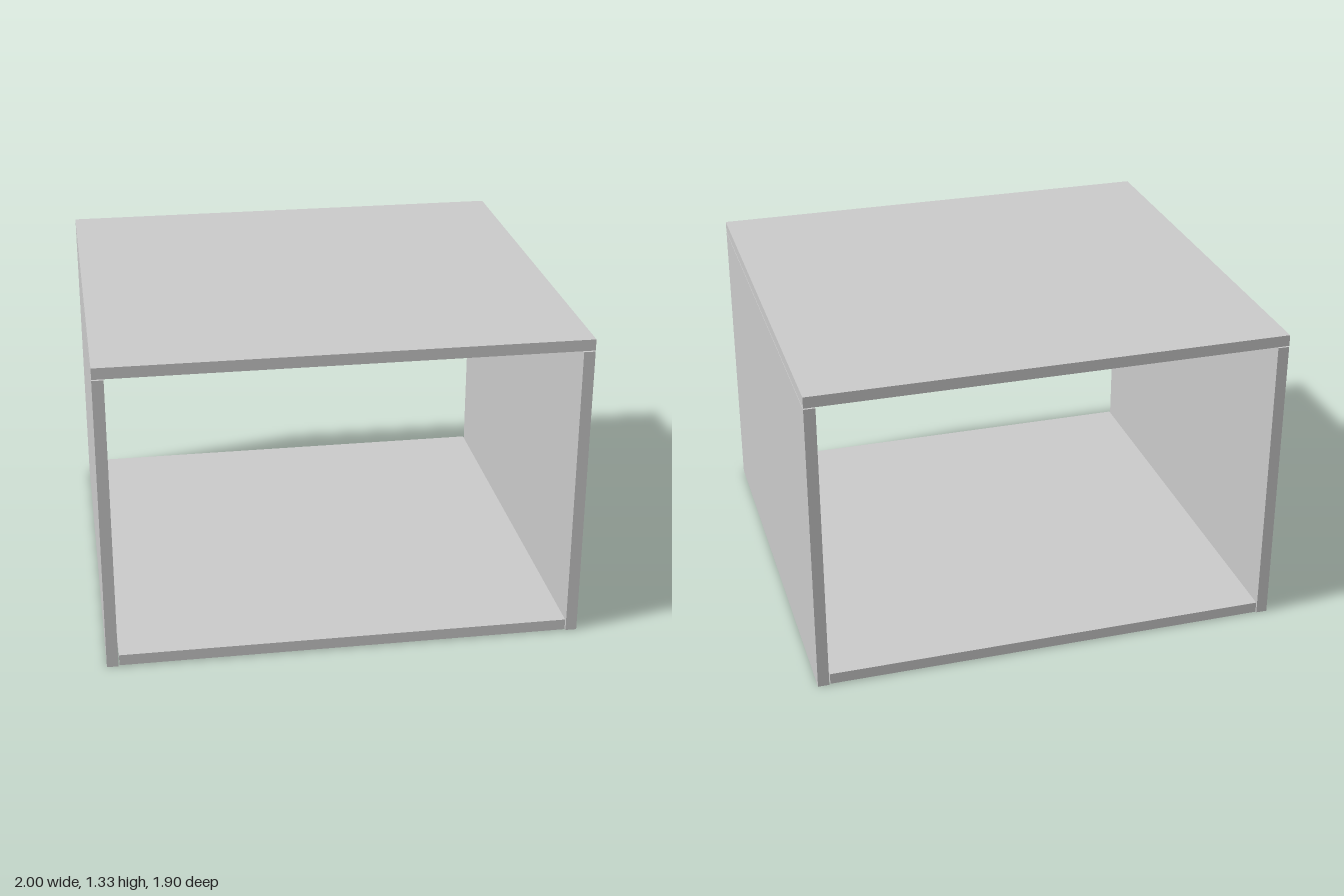
import * as THREE from 'three';

// Open-ended cabinet carcass: four boards separated by fine joint gaps
export function createModel() {
  const group = new THREE.Group();
  const material = new THREE.MeshStandardMaterial({ color: 0xcccccc });
  const thick = 0.0474, gap = 0.0047, depth = 1.896;
  const sideHeight = 1.2796, floorWidth = 1.896;

  const board = (name, width, height, x, bottom) => {
    const mesh = new THREE.Mesh(new THREE.BoxGeometry(width, height, depth), material);
    mesh.name = name;
    mesh.position.set(x, bottom + height / 2, 0);
    group.add(mesh);
  };

  // Side panels stand on the ground
  for (const [name, s] of [['leftPanel', 1], ['rightPanel', -1]]) {
    board(name, thick, sideHeight, s * (1 - thick / 2), 0);
  }
  // Floor sits between the sides, the top spans them
  board('bottomPanel', floorWidth, thick, 0, gap);
  board('topPanel', 2, thick, 0, sideHeight + gap);

  return group;
}
